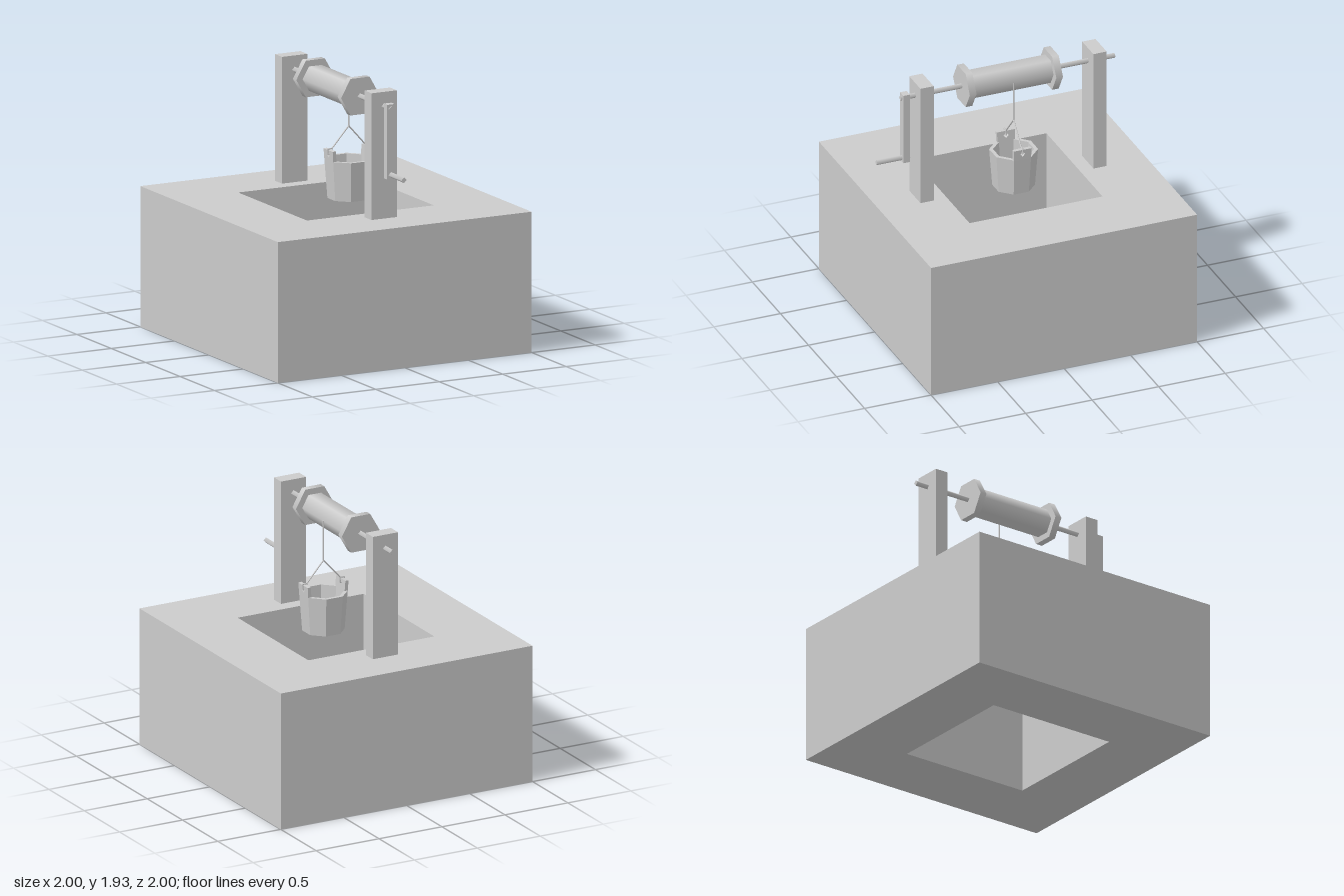
import * as THREE from 'three';

const smooth = new THREE.MeshStandardMaterial({ color: 0xcccccc });
const flat = new THREE.MeshStandardMaterial({ color: 0xcccccc, flatShading: true });

function add(parent, name, geometry, material = flat) {
  const mesh = new THREE.Mesh(geometry, material);
  mesh.name = name;
  parent.add(mesh);
  return mesh;
}

// box given by its low and high limits on each axis
function box(parent, name, [x0, x1], [y0, y1], [z0, z1]) {
  const g = new THREE.BoxGeometry(x1 - x0, y1 - y0, z1 - z0);
  add(parent, name, g.translate((x0 + x1) / 2, (y0 + y1) / 2, (z0 + z1) / 2));
}

// prism along z, with corners pointing to +x and -x
function prismZ(parent, name, radius, sides, y, z0, z1) {
  const start = sides === 6 ? Math.PI / 6 : 0;
  const g = new THREE.CylinderGeometry(radius, radius, z1 - z0, sides, 1, false, start);
  add(parent, name, g.rotateX(Math.PI / 2).translate(0, y, (z0 + z1) / 2), smooth);
}

// thin rod between two points
function rod(parent, name, a, b, radius = 0.005) {
  const from = new THREE.Vector3(...a), to = new THREE.Vector3(...b);
  const dir = to.clone().sub(from);
  const mesh = add(parent, name, new THREE.CylinderGeometry(radius, radius, dir.length(), 6), smooth);
  mesh.position.copy(from).lerp(to, 0.5);
  mesh.quaternion.setFromUnitVectors(new THREE.Vector3(0, 1, 0), dir.normalize());
}

function squareRing(outer, inner, height) {
  const square = (r, Type) => new Type([[-r, -r], [r, -r], [r, r], [-r, r]].map(p => new THREE.Vector2(...p)));
  const shape = square(outer, THREE.Shape);
  shape.holes.push(square(inner, THREE.Path));
  return new THREE.ExtrudeGeometry(shape, { depth: height, bevelEnabled: false }).rotateX(-Math.PI / 2);
}

function makeBucket() {
  const bucket = new THREE.Group();
  bucket.name = 'bucket';
  const toCorner = 1 / Math.cos(Math.PI / 8);

  // eight-sided tapering tub with a floor
  const profile = [[0, 1], [0.137, 1], [0.157, 1.28], [0.132, 1.28], [0.114, 1.025], [0, 1.025]]
    .map(([r, y]) => new THREE.Vector2(r * toCorner, y));
  add(bucket, 'tub', new THREE.LatheGeometry(profile, 8, Math.PI / 8));

  // lug with a diamond hole
  const lug = new THREE.Shape([[-0.065, -0.005], [0.065, -0.005], [0.067, 0.075], [-0.067, 0.075]]
    .map(p => new THREE.Vector2(...p)));
  lug.holes.push(new THREE.Path([[0.02, 0.04], [0, 0.06], [-0.02, 0.04], [0, 0.02]]
    .map(p => new THREE.Vector2(...p))));
  const lugGeometry = new THREE.ExtrudeGeometry(lug, { depth: 0.025, bevelEnabled: false })
    .rotateY(Math.PI / 2).rotateZ(-0.07).translate(0.132, 1.28, 0);

  // lugs and handle wires, mirrored by a half turn
  for (const turn of [0, Math.PI]) {
    const side = new THREE.Group();
    side.name = 'handleSide';
    side.rotation.y = turn;
    add(side, 'lug', lugGeometry);
    const path = [[0, 1.51, 0], [0.132, 1.363, 0], [0.166, 1.361, 0], [0.163, 1.322, 0], [0.13, 1.324, 0], [0.132, 1.363, 0]];
    for (let i = 1; i < path.length; i++) rod(side, 'handleWire', path[i - 1], path[i]);
    bucket.add(side);
  }
  bucket.position.x = 0.1;
  return bucket;
}

export function createModel() {
  const well = new THREE.Group();
  well.name = 'well';

  // square shaft wall, open through the middle
  add(well, 'wellWall', squareRing(1, 0.5, 1));

  // posts and drum flanges at both ends
  for (const s of [-1, 1]) {
    const span = (a, b) => [Math.min(s * a, s * b), Math.max(s * a, s * b)];
    box(well, 'post', [-0.1, 0.1], [1, 1.9], span(0.6, 0.7));
    prismZ(well, 'drumFlange', 0.15, 6, 1.8, ...span(0.3, 0.35));
  }

  // winding drum, axle and crank
  prismZ(well, 'drum', 0.1, 6, 1.8, -0.3, 0.3);
  prismZ(well, 'axle', 0.02, 4, 1.8, -0.8, 0.81);
  box(well, 'crankArm', [-0.03, 0.03], [1.3, 1.83], [0.75, 0.8]);
  prismZ(well, 'crankHandle', 0.02, 4, 1.33, 0.743, 0.99);

  // rope and bucket
  rod(well, 'rope', [0.1, 1.8, 0], [0.1, 1.51, 0]);
  well.add(makeBucket());
  return well;
}
